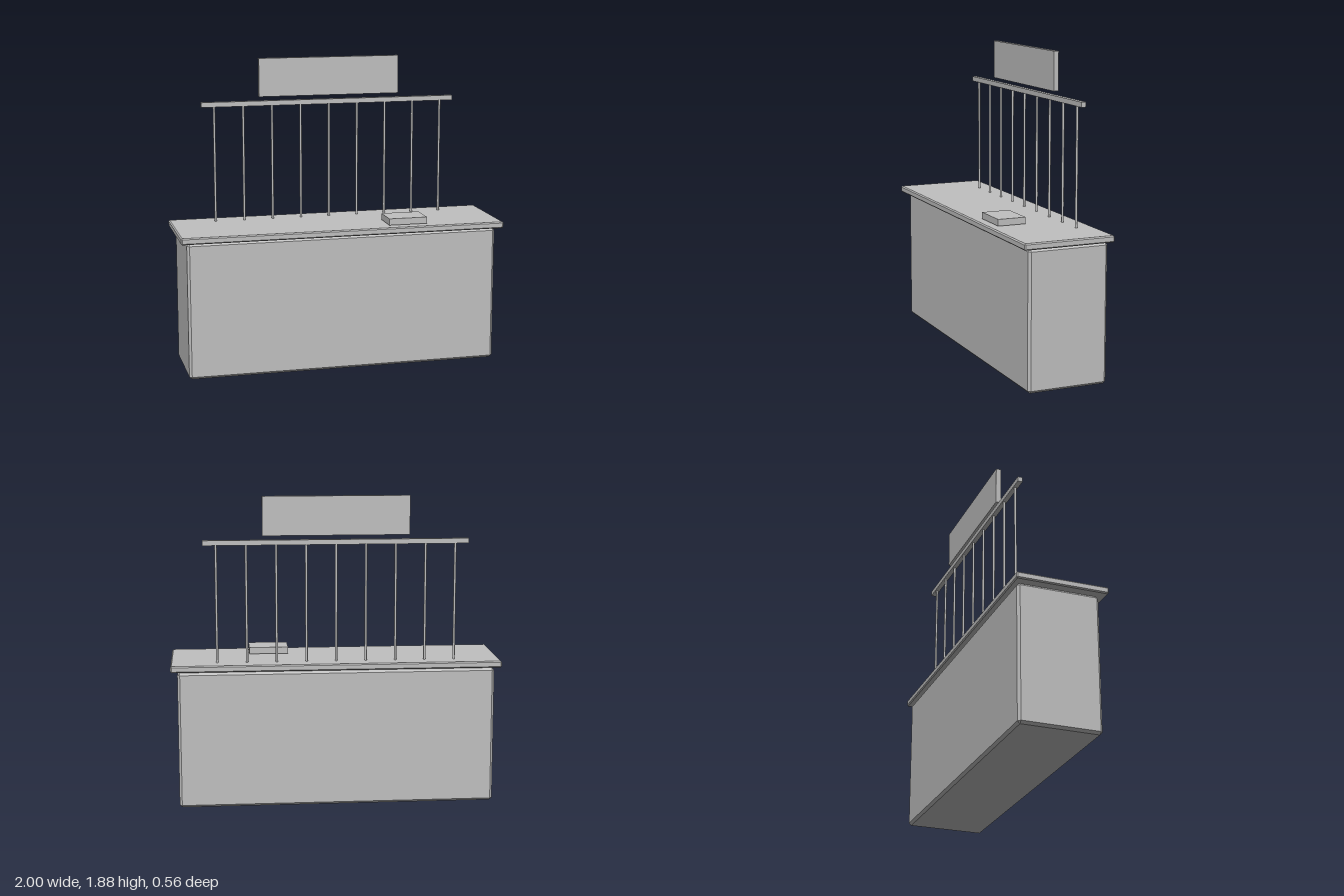
import * as THREE from 'three';
import { ConvexGeometry } from 'three/addons/geometries/ConvexGeometry.js';

const grey = new THREE.MeshStandardMaterial({ color: 0xc0c0c0 });
grey.name = 'plain grey';

// Box with every edge chamfered by c
function chamferedBox(w, h, d, c) {
  const half = [w / 2, h / 2, d / 2];
  const points = [];
  for (const sx of [-1, 1]) for (const sy of [-1, 1]) for (const sz of [-1, 1]) {
    for (let axis = 0; axis < 3; axis++) {
      const p = half.map((v, i) => (i === axis ? v : v - c));
      points.push(new THREE.Vector3(p[0] * sx, p[1] * sy, p[2] * sz));
    }
  }
  return new ConvexGeometry(points);
}

export function createModel() {
  const group = new THREE.Group();
  group.name = 'serviceCounter';

  function add(name, geometry, x, y, z) {
    const mesh = new THREE.Mesh(geometry, grey);
    mesh.name = name;
    mesh.position.set(x, y, z);
    group.add(mesh);
  }

  // Counter body and overhanging worktop
  add('counterBody', chamferedBox(1.92, 0.835, 0.495, 0.015), 0, 0.4175, -0.012);
  add('counterTop', chamferedBox(2, 0.04, 0.56, 0.007), 0, 0.86, 0);

  // Row of thin bars carrying the top rail
  const barHeight = 0.71;
  const bar = new THREE.CylinderGeometry(0.0075, 0.0075, barHeight, 8);
  for (let i = 0; i < 9; i++) {
    add(`bar${i + 1}`, bar, (i - 4) * 0.18, 0.88 + barHeight / 2, -0.175);
  }
  add('topRail', new THREE.BoxGeometry(1.6, 0.03, 0.03), 0, 1.605, -0.175);

  // Blank sign board above the rail
  add('signBoard', new THREE.BoxGeometry(0.885, 0.235, 0.03), 0, 1.763, -0.175);

  // Small block on the worktop
  add('counterBlock', new THREE.BoxGeometry(0.24, 0.04, 0.175), 0.4, 0.905, 0.142);

  return group;
}
